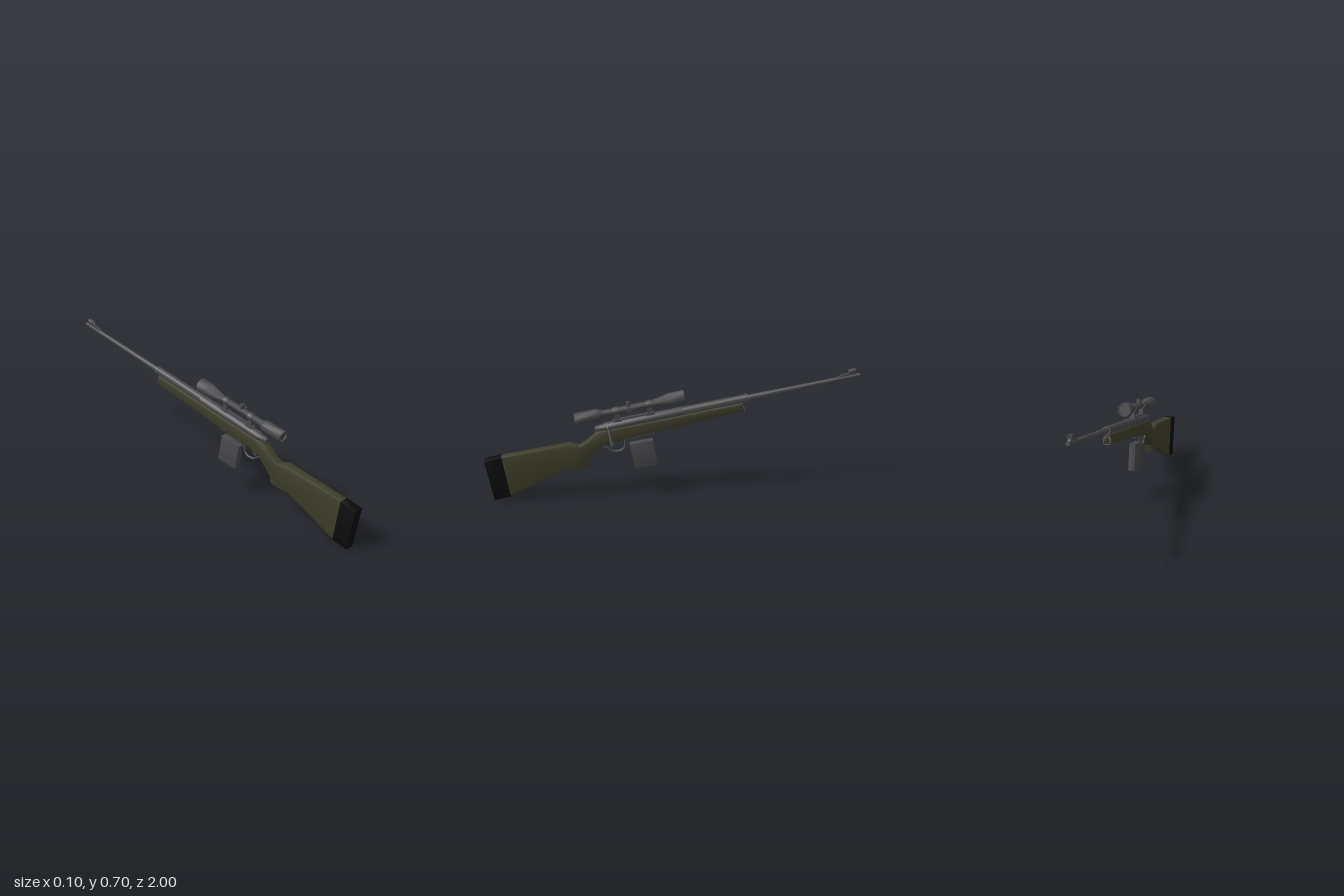
import * as THREE from 'three';
import { toCreasedNormals } from 'three/addons/utils/BufferGeometryUtils.js';

const TILT = 0.19; // the bore climbs towards the muzzle

export function createModel() {
  const metal = new THREE.MeshStandardMaterial({ color: 0x48484a });
  metal.name = 'gunmetal grey';
  const olive = new THREE.MeshStandardMaterial({ color: 0x3e3e2b });
  olive.name = 'olive stock';
  const rubber = new THREE.MeshStandardMaterial({ color: 0x0a0a0a });
  rubber.name = 'black rubber';

  const root = new THREE.Group();
  root.name = 'rifle';
  const body = new THREE.Group(); // side profiles, in level coordinates
  body.name = 'body';
  body.position.x = -0.012;
  const bore = new THREE.Group(); // parts lined up with the barrel, bore on local z
  bore.name = 'boreAssembly';
  bore.position.y = 0.473;
  bore.rotation.x = TILT;
  body.add(bore);
  root.add(body);

  const add = (parent, name, geo, mat, crease = 0.5) => {
    const mesh = new THREE.Mesh(toCreasedNormals(geo, crease), mat);
    mesh.name = name;
    parent.add(mesh);
    return mesh;
  };
  // Side profile of [z, y] points, extruded across x
  const slab = (name, pts, width, bevel, mat) => {
    const shape = new THREE.Shape(pts.map(p => new THREE.Vector2(p[0], p[1])));
    const geo = new THREE.ExtrudeGeometry(shape, {
      depth: width - 2 * bevel, bevelEnabled: bevel > 0, bevelSize: bevel,
      bevelThickness: bevel, bevelOffset: -bevel, bevelSegments: 2,
    });
    geo.translate(0, 0, bevel - width / 2);
    geo.rotateY(-Math.PI / 2);
    return add(body, name, geo, mat, 0.6);
  };
  // Turned part along the bore from [z, radius] points
  const turned = (name, pts, sides, h = 0) => {
    const geo = new THREE.LatheGeometry(pts.map(([z, r]) => new THREE.Vector2(r, z)), sides, Math.PI / sides);
    geo.rotateX(Math.PI / 2);
    geo.translate(0, h, 0);
    return add(bore, name, geo, metal, 0.85);
  };
  const box = (name, w, h, d, y, z) =>
    add(bore, name, new THREE.BoxGeometry(w, h, d).translate(0, y, z), metal);
  const rod = (name, a, b, ra, rb, parent = body) => {
    const from = new THREE.Vector3(...a), to = new THREE.Vector3(...b);
    const dir = to.clone().sub(from);
    const mesh = add(parent, name, new THREE.CylinderGeometry(rb, ra, dir.length(), 8), metal, 0.85);
    mesh.position.copy(from).add(to).multiplyScalar(0.5);
    mesh.quaternion.setFromUnitVectors(new THREE.Vector3(0, 1, 0), dir.normalize());
  };
  const wire = (name, pts, r, closed) => {
    const path = new THREE.CatmullRomCurve3(pts.map(p => new THREE.Vector3(...p)), closed, 'catmullrom', 0.3);
    add(body, name, new THREE.TubeGeometry(path, 24, r, 6, closed), metal, 0.85);
  };

  // Stock with grip, and the recoil pad
  slab('stock', [
    [0.909, 0.254], [0.545, 0.318], [0.492, 0.305], [0.45, 0.33], [0.396, 0.382], [0.33, 0.396],
    [-0.38, 0.53], [-0.372, 0.478], [0.3, 0.326], [0.37, 0.3], [0.445, 0.218],
    [0.45, 0.178], [0.54, 0.163], [0.56, 0.17], [0.872, 0.022],
  ], 0.052, 0.01, olive);
  slab('recoilPad', [[1.0, 0.233], [0.907, 0.254], [0.868, 0.022], [0.957, 0.004]], 0.053, 0.003, rubber);

  // Barrel, receiver and bolt shroud
  turned('barrel', [
    [-1.016, 0], [-1.016, 0.0105], [-0.6, 0.0135], [-0.412, 0.0155],
    [-0.412, 0.024], [-0.395, 0.024], [-0.395, 0.0215], [-0.06, 0.023], [-0.06, 0],
  ], 12);
  turned('receiver', [[-0.06, 0], [-0.06, 0.025], [0.355, 0.024], [0.37, 0.019], [0.412, 0.015], [0.418, 0]], 10);
  box('sightRail', 0.02, 0.008, 0.23, 0.026, 0.2);

  // Front sight: ramp, blade and hood
  const ramp = new THREE.Shape([[-1.005, 0.004], [-0.87, 0.004], [-0.93, 0.021], [-0.99, 0.021]].map(p => new THREE.Vector2(...p)));
  add(bore, 'sightRamp', new THREE.ExtrudeGeometry(ramp, { depth: 0.014, bevelEnabled: false })
    .translate(0, 0, -0.007).rotateY(-Math.PI / 2), metal);
  box('sightBlade', 0.004, 0.018, 0.02, 0.028, -0.975);
  const ring = new THREE.Shape();
  ring.absarc(0, 0, 0.0125, 0, Math.PI * 2);
  const hole = new THREE.Path();
  hole.absarc(0, 0, 0.009, 0, Math.PI * 2, true);
  ring.holes.push(hole);
  add(bore, 'sightHood', new THREE.ExtrudeGeometry(ring, { depth: 0.038, bevelEnabled: false, curveSegments: 8 })
    .translate(0, 0.029, -0.998), metal, 0.85);

  // Telescopic sight with recessed lenses at both ends
  const SH = 0.078;
  turned('scope', [
    [-0.074, 0], [-0.074, 0.031], [-0.085, 0.033], [-0.085, 0.037], [-0.005, 0.036], [0.09, 0.017],
    [0.355, 0.017], [0.385, 0.031], [0.505, 0.032], [0.505, 0.028], [0.497, 0.026], [0.497, 0],
  ], 8, SH);
  rod('topTurret', [0, SH, 0.213], [0, SH + 0.036, 0.213], 0.013, 0.013, bore);
  rod('sideTurret', [0, SH, 0.213], [0.036, SH, 0.213], 0.013, 0.013, bore);
  for (const z of [0.285, 0.108]) {
    turned('scopeRing', [[z - 0.014, 0], [z - 0.014, 0.021], [z + 0.014, 0.021], [z + 0.014, 0]], 10, SH);
    box('scopePost', 0.02, 0.05, 0.026, 0.042, z);
    box('scopeFoot', 0.03, 0.012, 0.042, 0.024, z);
  }

  // Bolt handle with knob
  rod('boltRoot', [0.008, 0.418, 0.34], [0.026, 0.405, 0.338], 0.007, 0.006);
  rod('boltHandle', [0.025, 0.408, 0.338], [0.046, 0.362, 0.328], 0.005, 0.006);
  rod('boltKnob', [0.044, 0.366, 0.329], [0.057, 0.33, 0.321], 0.006, 0.0085);

  // Trigger and guard
  wire('triggerGuard', [
    [0, 0.305, 0.385], [0, 0.284, 0.345], [0, 0.264, 0.315], [0, 0.265, 0.275], [0, 0.285, 0.252], [0, 0.335, 0.248],
  ], 0.006, false);
  wire('trigger', [[0, 0.33, 0.305], [0, 0.305, 0.312], [0, 0.285, 0.325]], 0.005, false);

  // Separate magazine below its well plate
  slab('magazine', [[0.225, 0.307], [0.1, 0.329], [0.075, 0.184], [0.197, 0.163]], 0.036, 0.002, metal);
  slab('magazinePlate', [[0.24, 0.345], [0.09, 0.378], [0.088, 0.368], [0.238, 0.334]], 0.034, 0, metal);

  // Sling loop at the fore-end
  wire('slingLoop', [
    [0, 0.515, -0.374], [0.016, 0.502, -0.384], [0.016, 0.478, -0.392], [-0.016, 0.478, -0.392], [-0.016, 0.502, -0.384],
  ], 0.003, true);

  return root;
}
